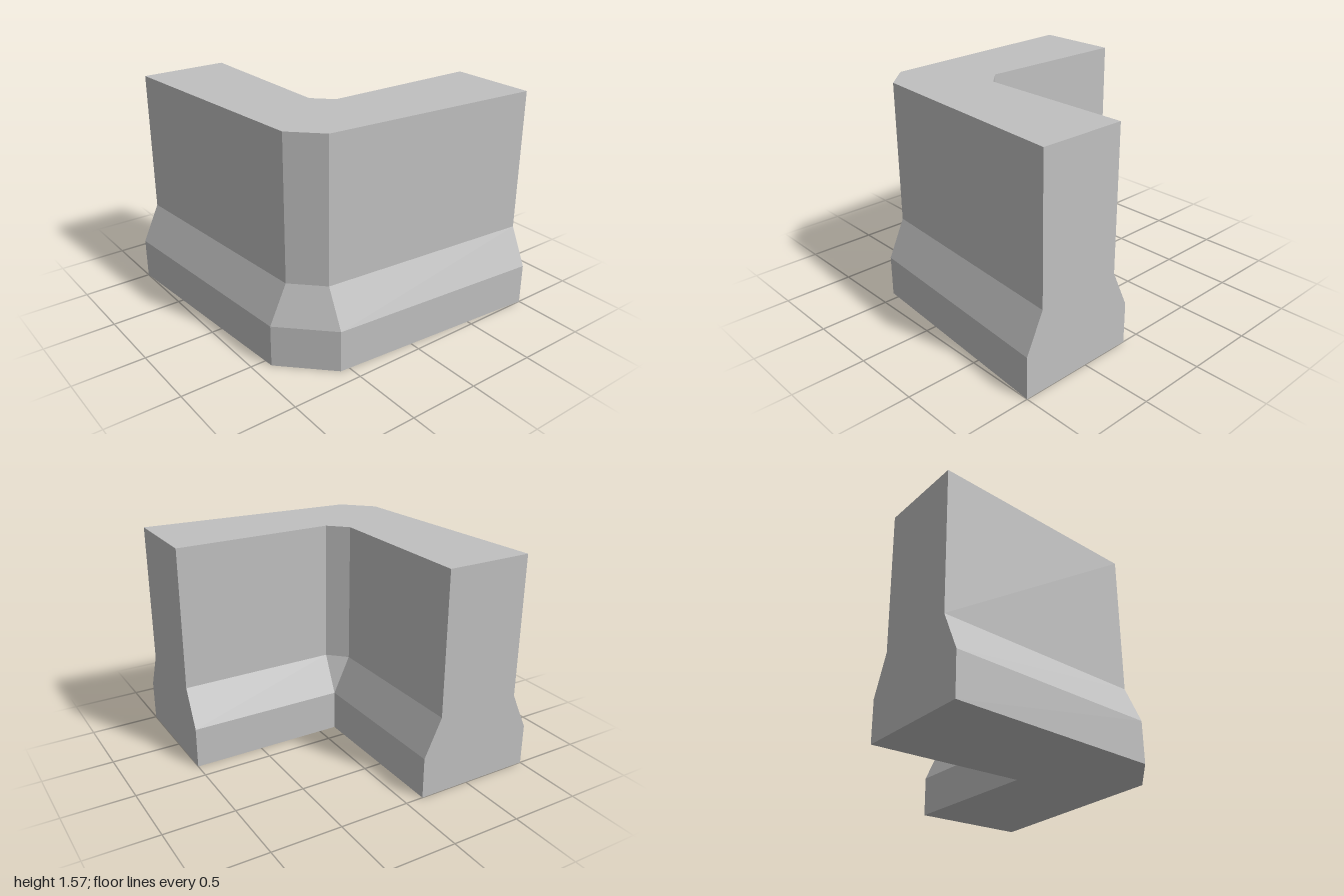
import * as THREE from 'three';

// Plan outlines [x, z]: four outer points, then four inner points back again
const wide = [[-1, 1], [0.566, 0.885], [0.885, 0.566], [1, -1],
  [0.13, -1], [0.13, 0.13], [0.13, 0.13], [-1, 0.13]];
const narrow = [[-1, 0.875], [0.566, 0.76], [0.76, 0.566], [0.875, -1],
  [0.255, -1], [0.255, 0.13], [0.13, 0.255], [-1, 0.255]];

// One storey of the wall between two outlines, with optional caps
function layer(name, material, low, y0, high, y1, { top = false, bottom = false } = {}) {
  const a = low.map(([x, z]) => new THREE.Vector3(x, y0, z));
  const b = high.map(([x, z]) => new THREE.Vector3(x, y1, z));
  const pos = [];
  const tri = (p, q, r) => {
    if (new THREE.Triangle(p, q, r).getArea() > 1e-6) {
      for (const v of [p, q, r]) pos.push(v.x, v.y, v.z);
    }
  };
  const quad = (p, q, r, s) => { tri(p, q, r); tri(p, r, s); };

  // Sides, including the two flat ends
  for (let i = 0; i < a.length; i++) {
    const j = (i + 1) % a.length;
    quad(a[i], a[j], b[j], b[i]);
  }
  // Caps join each outer edge to the inner edge opposite
  for (let i = 0; i < 3; i++) {
    if (top) quad(b[i], b[i + 1], b[6 - i], b[7 - i]);
    if (bottom) quad(a[7 - i], a[6 - i], a[i + 1], a[i]);
  }

  const geometry = new THREE.BufferGeometry();
  geometry.setAttribute('position', new THREE.Float32BufferAttribute(pos, 3));
  geometry.computeVertexNormals();
  const mesh = new THREE.Mesh(geometry, material);
  mesh.name = name;
  return mesh;
}

export function createModel() {
  const stone = new THREE.MeshStandardMaterial({ color: 0xc0c0c0 });
  stone.name = 'stone grey';

  const group = new THREE.Group();
  group.name = 'cornerWall';
  group.add(
    layer('plinth', stone, wide, 0, wide, 0.295, { bottom: true }),
    layer('slopedLedge', stone, wide, 0.295, narrow, 0.565),
    layer('upperWall', stone, narrow, 0.565, narrow, 1.57, { top: true }),
  );
  return group;
}
